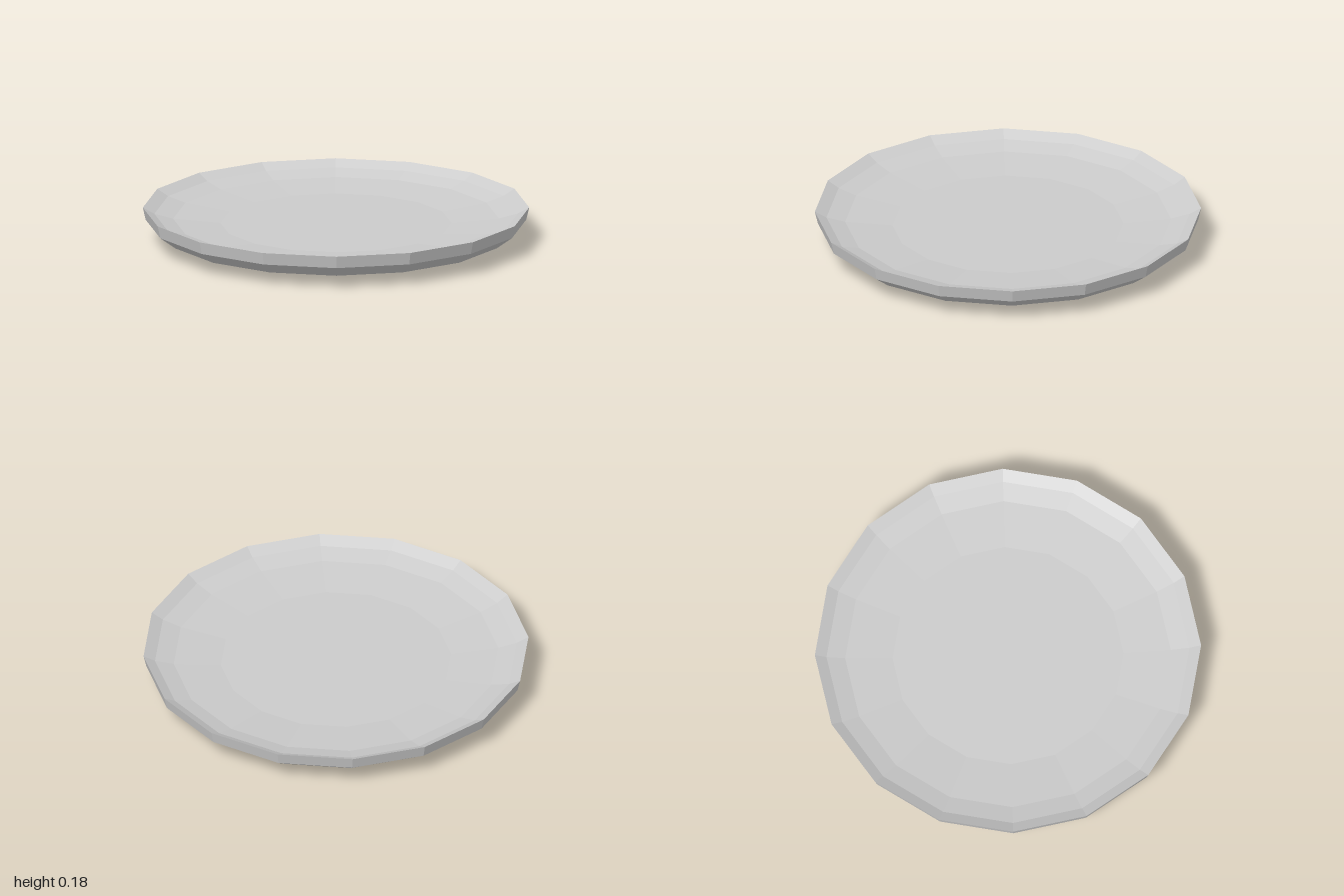
import * as THREE from 'three';

const SIDES = 16;

export function createModel() {
  const group = new THREE.Group();
  group.name = 'plate';
  const material = new THREE.MeshStandardMaterial({ color: 0xcccccc, flatShading: true });

  const addLathe = (name, profile) => {
    const points = profile.map(([r, y]) => new THREE.Vector2(r, y));
    const mesh = new THREE.Mesh(new THREE.LatheGeometry(points, SIDES), material);
    mesh.name = name;
    group.add(mesh);
  };

  // Underside: nearly flat base curving up to a steep outer band
  addLathe('underside', [[0, 0], [0.24, 0.003], [0.76, 0.025], [0.9, 0.052], [0.985, 0.115], [1, 0.18]]);

  // Inside: sharp rim sloping down in rings to a flat floor
  addLathe('dishSurface', [[1, 0.18], [0.94, 0.147], [0.843, 0.121], [0.598, 0.098], [0, 0.095]]);

  return group;
}
